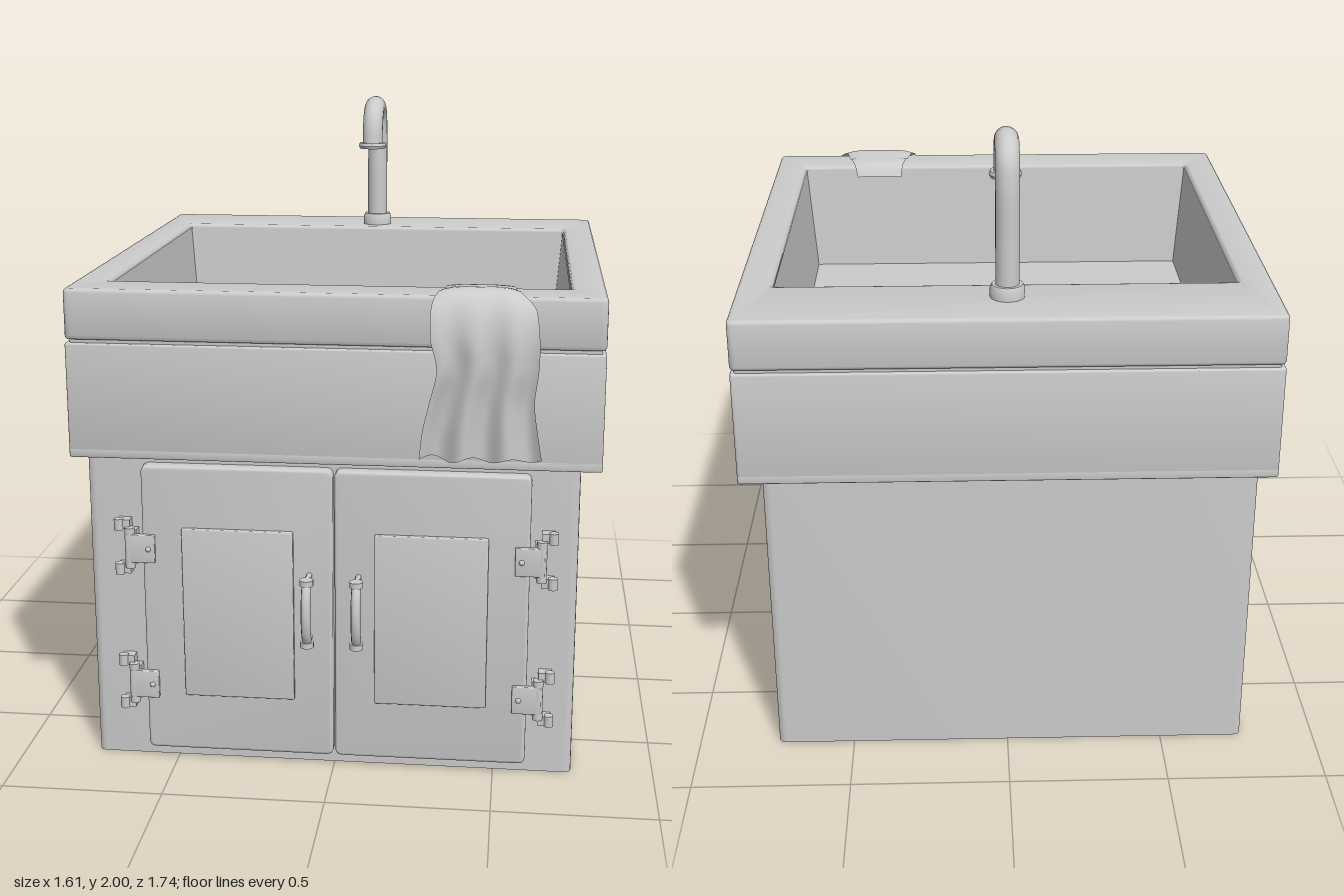
import * as THREE from 'three';
import { toCreasedNormals } from 'three/addons/utils/BufferGeometryUtils.js';

const grey = new THREE.MeshStandardMaterial({ color: 0xcccccc });
const thin = new THREE.MeshStandardMaterial({ color: 0xcccccc, side: THREE.DoubleSide });

function add(parent, name, geometry, x = 0, y = 0, z = 0, material = grey) {
  const mesh = new THREE.Mesh(geometry, material);
  mesh.name = name;
  mesh.position.set(x, y, z);
  parent.add(mesh);
  return mesh;
}

// Rounded rectangle outline on a shape or path
function outline(path, x0, x1, y0, y1, r) {
  path.moveTo(x0 + r, y0);
  path.lineTo(x1 - r, y0).quadraticCurveTo(x1, y0, x1, y0 + r);
  path.lineTo(x1, y1 - r).quadraticCurveTo(x1, y1, x1 - r, y1);
  path.lineTo(x0 + r, y1).quadraticCurveTo(x0, y1, x0, y1 - r);
  path.lineTo(x0, y0 + r).quadraticCurveTo(x0, y0, x0 + r, y0);
  return path;
}

// Bevelled plate, extruded from depth d0 to d1 along z, with an optional hole
function plate([x0, x1, y0, y1], d0, d1, r, bevel, hole) {
  const shape = outline(new THREE.Shape(), x0, x1, y0, y1, r);
  if (hole) shape.holes.push(outline(new THREE.Path(), ...hole, 0.012));
  const g = new THREE.ExtrudeGeometry(shape, {
    depth: d1 - d0 - 2 * bevel, curveSegments: 4, bevelEnabled: bevel > 0,
    bevelThickness: bevel, bevelSize: bevel, bevelOffset: -bevel, bevelSegments: 3,
  });
  g.translate(0, 0, d0 + bevel);
  return toCreasedNormals(g, 0.6);
}

// Same plate lying flat: rectangles are x0, x1, -z front, -z back
const slab = (...args) => plate(...args).rotateX(-Math.PI / 2);

// Open tub with tapering walls
function tubGeometry(top, bottom, yTop, yBottom) {
  const g = new THREE.BoxGeometry(1, 1, 1);
  const p = g.attributes.position;
  for (let i = 0; i < p.count; i++) {
    const isTop = p.getY(i) > 0;
    const [x0, x1, z0, z1] = isTop ? top : bottom;
    p.setXYZ(i, p.getX(i) < 0 ? x0 : x1, isTop ? yTop : yBottom, p.getZ(i) < 0 ? z0 : z1);
  }
  g.setIndex(Array.from(g.index.array).filter((_, i) => i < 12 || i >= 18));
  // Turn the faces inwards
  const ix = g.index.array;
  for (let i = 0; i < ix.length; i += 3) [ix[i], ix[i + 1]] = [ix[i + 1], ix[i]];
  const flat = g.toNonIndexed();
  flat.computeVertexNormals();
  return flat;
}

function tube(points, radius, segments = 24, sides = 14) {
  const curve = new THREE.CatmullRomCurve3(points.map((p) => new THREE.Vector3(...p)));
  return new THREE.TubeGeometry(curve, segments, radius, sides);
}

function lathe(points, sides = 24) {
  const g = new THREE.LatheGeometry(points.map((p) => new THREE.Vector2(...p)), sides);
  return toCreasedNormals(g, 0.6);
}

// Hinge with its leaf towards +x; mirrored by side
function addHinge(parent, side, x, y) {
  const hinge = new THREE.Group();
  hinge.name = 'hinge';
  hinge.position.set(x, y, 0.765);
  add(hinge, 'hingeLeaf', plate([-0.09, 0, -0.045, 0.045].map((v, i) => (i < 2 && side > 0 ? 0 : v)).map((v, i) =>
    (side > 0 && i === 1 ? 0.09 : v)), 0, 0.018, 0.004, 0.003));
  add(hinge, 'hingeBarrel', new THREE.CylinderGeometry(0.016, 0.016, 0.13, 12), side * 0.08, 0, 0.003);
  add(hinge, 'hingeBracket', new THREE.BoxGeometry(0.03, 0.11, 0.04), side * 0.075, 0, -0.02);
  add(hinge, 'hingeScrew', new THREE.SphereGeometry(0.009, 10, 6), side * 0.02, 0, 0.017);
  for (const end of [-1, 1]) {
    add(hinge, 'hingeLug', new THREE.BoxGeometry(0.04, 0.03, 0.035), side * 0.1, end * 0.072, -0.017);
    add(hinge, 'hingeKnob', new THREE.CylinderGeometry(0.015, 0.015, 0.036, 10), side * 0.115, end * 0.072, -0.005);
  }
  parent.add(hinge);
}

function addHandle(parent, x) {
  const handle = new THREE.Group();
  handle.name = 'handle';
  handle.position.set(x, 0.54, 0);
  add(handle, 'handleGrip', tube([[0, -0.1, 0.825], [0, -0.06, 0.848], [0, 0, 0.858], [0, 0.06, 0.848], [0, 0.1, 0.825]], 0.015, 16, 10));
  for (const end of [-1, 1]) {
    add(handle, 'handlePost', new THREE.CylinderGeometry(0.009, 0.009, 0.08, 10).rotateX(Math.PI / 2), 0, end * 0.1, 0.795);
    add(handle, 'handleCollar', new THREE.CylinderGeometry(0.021, 0.021, 0.018, 14), 0, end * 0.1, 0.832);
  }
  parent.add(handle);
}

// Cloth swept along a drape profile of [y, z, left edge x, right edge x]
function towelGeometry() {
  const rows = [
    [1.49, 0.605, 0.35, 0.51], [1.525, 0.63, 0.345, 0.52], [1.538, 0.7, 0.33, 0.54], [1.54, 0.78, 0.31, 0.56],
    [1.5, 0.825, 0.295, 0.6], [1.42, 0.85, 0.295, 0.61], [1.32, 0.85, 0.315, 0.61],
    [1.22, 0.84, 0.295, 0.6], [1.13, 0.835, 0.275, 0.61], [1.04, 0.83, 0.265, 0.625],
  ];
  const profile = new THREE.CatmullRomCurve3(rows.map(([y, z]) => new THREE.Vector3(0, y, z)));
  const edges = new THREE.CatmullRomCurve3(rows.map(([, , a, b]) => new THREE.Vector3(a, b, 0)));
  const g = new THREE.PlaneGeometry(1, 1, 28, 40);
  const p = g.attributes.position;
  for (let i = 0; i < p.count; i++) {
    const u = p.getX(i) + 0.5;
    const t = 0.5 - p.getY(i);
    const c = profile.getPoint(t);
    const e = edges.getPoint(t);
    const hang = THREE.MathUtils.smoothstep(t, 0.3, 1);
    const fold = Math.sin(u * 17 + t * 2) * 0.02 * hang - Math.pow(2 * u - 1, 2) * 0.012 * hang;
    p.setXYZ(i, THREE.MathUtils.lerp(e.x, e.y, u), c.y + Math.sin(u * 19) * 0.009 * hang * hang
      - Math.pow(2 * u - 1, 4) * 0.012 * (1 - hang) * (t > 0.2 ? 1 : 0.3), c.z + fold);
  }
  g.computeVertexNormals();
  return g;
}

export function createModel() {
  const model = new THREE.Group();
  model.name = 'sinkCabinet';

  // Cabinet shell, open below
  add(model, 'cabinet', slab([-0.765, 0.745, -0.73, 0.78], 0, 1.0, 0.025, 0, [-0.75, 0.73, -0.715, 0.765]));

  // Sink block: apron, shadow gap and rim around the tub
  const hole = [-0.7, 0.7, -0.63, 0.59];
  const outer = [-0.805, 0.805, -0.785, 0.87];
  add(model, 'apronBase', slab(outer, 1.0, 1.03, 0.012, 0.004));
  add(model, 'apron', slab(outer, 1.005, 1.355, 0.012, 0.006, hole));
  add(model, 'shadowGap', slab([-0.793, 0.793, -0.773, 0.858], 1.34, 1.38, 0.01, 0, hole));
  add(model, 'rim', slab(outer, 1.365, 1.52, 0.02, 0.012, hole));
  add(model, 'basin', tubGeometry([-0.698, 0.698, -0.588, 0.628], [-0.668, 0.668, -0.558, 0.598], 1.508, 1.15), 0, 0, 0, thin);

  // Doors with raised panels, handles and hinges
  for (const [side, x0, x1, p0, p1, hinge, handle] of [
    [-1, -0.59, 0.0, -0.465, -0.12, -0.55, -0.072],
    [1, 0.006, 0.6, 0.13, 0.475, 0.555, 0.08],
  ]) {
    const door = new THREE.Group();
    door.name = side < 0 ? 'rightDoor' : 'leftDoor';
    add(door, 'doorLeaf', plate([x0, x1, 0.04, 0.975], 0.705, 0.77, 0.022, 0.008));
    add(door, 'doorPanel', plate([p0, p1, 0.23, 0.78], 0.76, 0.785, 0.004, 0.004));
    addHandle(door, handle);
    for (const y of [0.26, 0.71]) addHinge(door, side, hinge, y);
    model.add(door);
  }

  // Gooseneck tap
  const tap = new THREE.Group();
  tap.name = 'tap';
  add(tap, 'tapBase', lathe([[0, 0], [0.052, 0], [0.052, 0.03], [0.046, 0.042], [0, 0.042]]), 0, 1.518, -0.69);
  add(tap, 'tapNeck', tube([[0, 1.52, -0.69], [0, 1.7, -0.69], [0, 1.86, -0.69], [0, 1.925, -0.675], [0, 1.96, -0.63],
    [0, 1.964, -0.58], [0, 1.945, -0.53], [0, 1.895, -0.498], [0, 1.83, -0.485]], 0.036, 40, 18));
  add(tap, 'spoutRing', lathe([[0, -0.01], [0.046, -0.01], [0.05, 0], [0.046, 0.01], [0, 0.01]]), 0, 1.832, -0.485);
  model.add(tap);

  // Towel draped over the front edge
  add(model, 'towel', towelGeometry(), 0, 0, 0, thin);

  return model;
}
